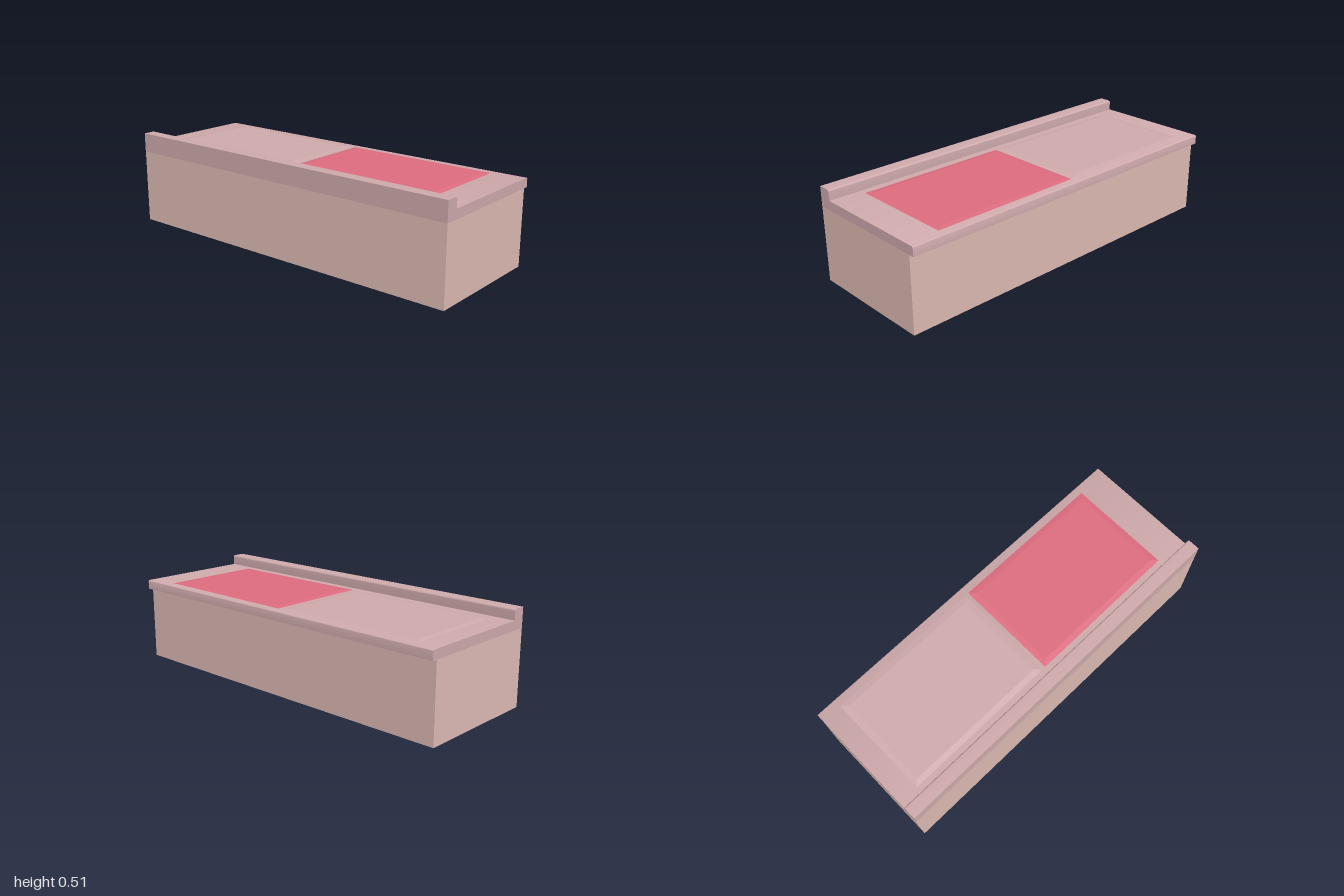
import * as THREE from 'three';
import { toCreasedNormals } from 'three/addons/utils/BufferGeometryUtils.js';

const material = (color) => new THREE.MeshStandardMaterial({ color });

function addMesh(group, name, geometry, mat) {
  const mesh = new THREE.Mesh(geometry, mat);
  mesh.name = name;
  group.add(mesh);
  return mesh;
}

// Thin slab whose top face is inset, leaving a shallow bevel all round
function raisedPanel(x0, x1, z0, z1, y0, y1, inset) {
  const w = x1 - x0, d = z1 - z0, h = y1 - y0;
  const geometry = new THREE.BoxGeometry(w, h, d);
  const p = geometry.attributes.position;
  for (let i = 0; i < p.count; i++) {
    if (p.getY(i) > 0) {
      p.setX(i, Math.sign(p.getX(i)) * (w / 2 - inset));
      p.setZ(i, Math.sign(p.getZ(i)) * (d / 2 - inset));
    }
  }
  geometry.translate((x0 + x1) / 2, (y0 + y1) / 2, (z0 + z1) / 2);
  geometry.computeVertexNormals();
  return geometry;
}

export function createModel() {
  const group = new THREE.Group();
  group.name = 'counter';
  const bodyMat = material(0xdebab4);
  const topMat = material(0xcfaaac);
  const matMat = material(0xde6c80);

  // Cabinet body, flush at the front and set back at the rear
  const body = new THREE.BoxGeometry(2, 0.405, 0.694);
  body.translate(0, 0.2025, 0.0135);
  addMesh(group, 'cabinetBody', body, bodyMat);

  // Countertop with front lip: a (z, y) section drawn along x
  const r = 0.01;
  const section = new THREE.Shape();
  section.moveTo(-0.361, 0.405);
  section.lineTo(0.361, 0.405);
  section.lineTo(0.361, 0.51);
  section.lineTo(0.29 + r, 0.51);
  section.quadraticCurveTo(0.29, 0.51, 0.29, 0.51 - r);
  section.lineTo(0.29, 0.455);
  section.lineTo(-0.361 + r, 0.455);
  section.quadraticCurveTo(-0.361, 0.455, -0.361, 0.455 - r);
  section.closePath();
  const top = new THREE.ExtrudeGeometry(section, { depth: 2, bevelEnabled: false, curveSegments: 5 });
  top.rotateY(-Math.PI / 2);
  top.translate(1, 0, 0);
  addMesh(group, 'countertop', toCreasedNormals(top, 0.6), topMat);

  // Two shallow raised panels: a plain one and a coloured one
  addMesh(group, 'plainPanel', raisedPanel(-0.89, -0.04, -0.315, 0.25, 0.455, 0.459, 0.03), topMat);
  addMesh(group, 'colouredPanel', raisedPanel(-0.02, 0.825, -0.315, 0.25, 0.4555, 0.4595, 0.03), matMat);

  return group;
}
